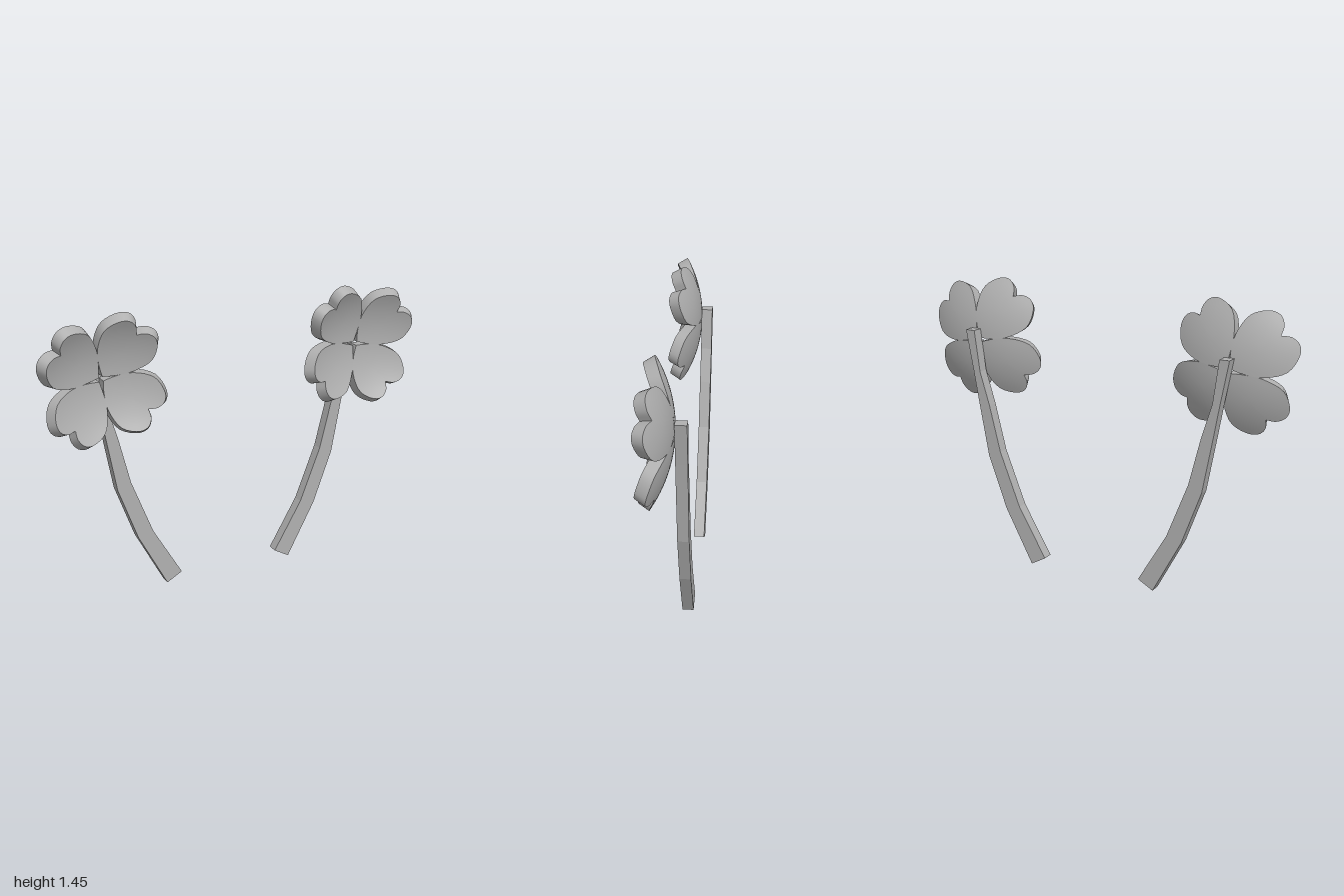
import * as THREE from 'three';
import { mergeVertices, mergeGeometries } from 'three/addons/utils/BufferGeometryUtils.js';

const R = 0.62;          // radius of the bowl the leaves lie on
const THICK = 0.06;      // leaf thickness
const BACK = -0.045;     // back of the bowl, where it touches the stem

// Smooth surface through rows of points
function skin(rows) {
  const n = rows[0].length, index = [];
  for (let i = 0; i < rows.length - 1; i++) {
    for (let j = 0; j < n - 1; j++) {
      const a = i * n + j, b = a + 1, c = b + n, d = a + n;
      index.push(a, b, c, a, c, d);
    }
  }
  let g = new THREE.BufferGeometry();
  g.setAttribute('position', new THREE.Float32BufferAttribute(rows.flat().flatMap(p => p.toArray()), 3));
  g.setIndex(index);
  g = mergeVertices(g, 1e-5);
  g.computeVertexNormals();
  return g;
}

// Heart-shaped leaf along +x, curved as a piece of a spherical shell
function leafGeometry() {
  const half = new THREE.CatmullRomCurve3([
    [0.285, 0], [0.316, 0.03], [0.326, 0.075], [0.303, 0.118], [0.22, 0.155],
    [0.122, 0.117], [0.057, 0.055], [0.015, 0],
  ].map(([x, y]) => new THREE.Vector3(x, y, 0))).getPoints(28);
  const other = half.map(p => new THREE.Vector3(p.x, -p.y, 0)).reverse();
  const rim = [...half, ...other.slice(1)];

  const onShell = depth => p => {
    const s = 1 - depth / R;
    return new THREE.Vector3(p.x * s, p.y * s, BACK + R - s * Math.sqrt(R * R - p.x * p.x - p.y * p.y));
  };
  const back = onShell(0), front = onShell(THICK);
  const middle = new THREE.Vector3(0.18, 0, 0);
  const rings = [];
  for (let i = 0; i <= 6; i++) rings.push(rim.map(p => p.clone().lerp(middle, i / 6)));

  return mergeGeometries([
    skin(rings.map(r => r.map(front))),
    skin([...rings].reverse().map(r => r.map(back))),
    // side walls, split at the notch and the tip to keep both sharp
    skin([half.map(back), half.map(front)]),
    skin([other.map(back), other.map(front)]),
  ]);
}

// Curved, tapering flat stem
function stemGeometry(side) {
  const outline = [
    [0.72, 1.2], [0.68, 0.99], [0.65, 0.82], [0.6, 0.55], [0.5, 0.28], [0.35, 0],
    [0.27, 0.045], [0.42, 0.3], [0.53, 0.58], [0.59, 0.82], [0.642, 0.99], [0.67, 1.2],
  ].map(([x, y]) => new THREE.Vector2(side * x, y));
  const g = new THREE.ExtrudeGeometry(new THREE.Shape(outline), { depth: 0.055, bevelEnabled: false });
  return g.translate(0, 0, -0.1);
}

export function createModel() {
  const model = new THREE.Group();
  model.name = 'cloverPair';
  const grey = new THREE.MeshStandardMaterial({ color: 0xb0b0b0 });
  grey.name = 'plain grey';
  const leafGeo = leafGeometry();

  for (const side of [-1, 1]) {
    const clover = new THREE.Group();
    clover.name = side > 0 ? 'leftClover' : 'rightClover';

    const stem = new THREE.Mesh(stemGeometry(side), grey);
    stem.name = 'stem';
    clover.add(stem);

    // four leaves around the top of the stem
    for (let i = 0; i < 4; i++) {
      const angle = THREE.MathUtils.degToRad(53 + 90 * i);
      const leaf = new THREE.Mesh(leafGeo, grey);
      leaf.name = 'leaf' + (i + 1);
      leaf.position.set(side * 0.685, 1.14, 0);
      leaf.rotation.z = side < 0 ? angle : Math.PI - angle;
      clover.add(leaf);
    }
    model.add(clover);
  }
  return model;
}
